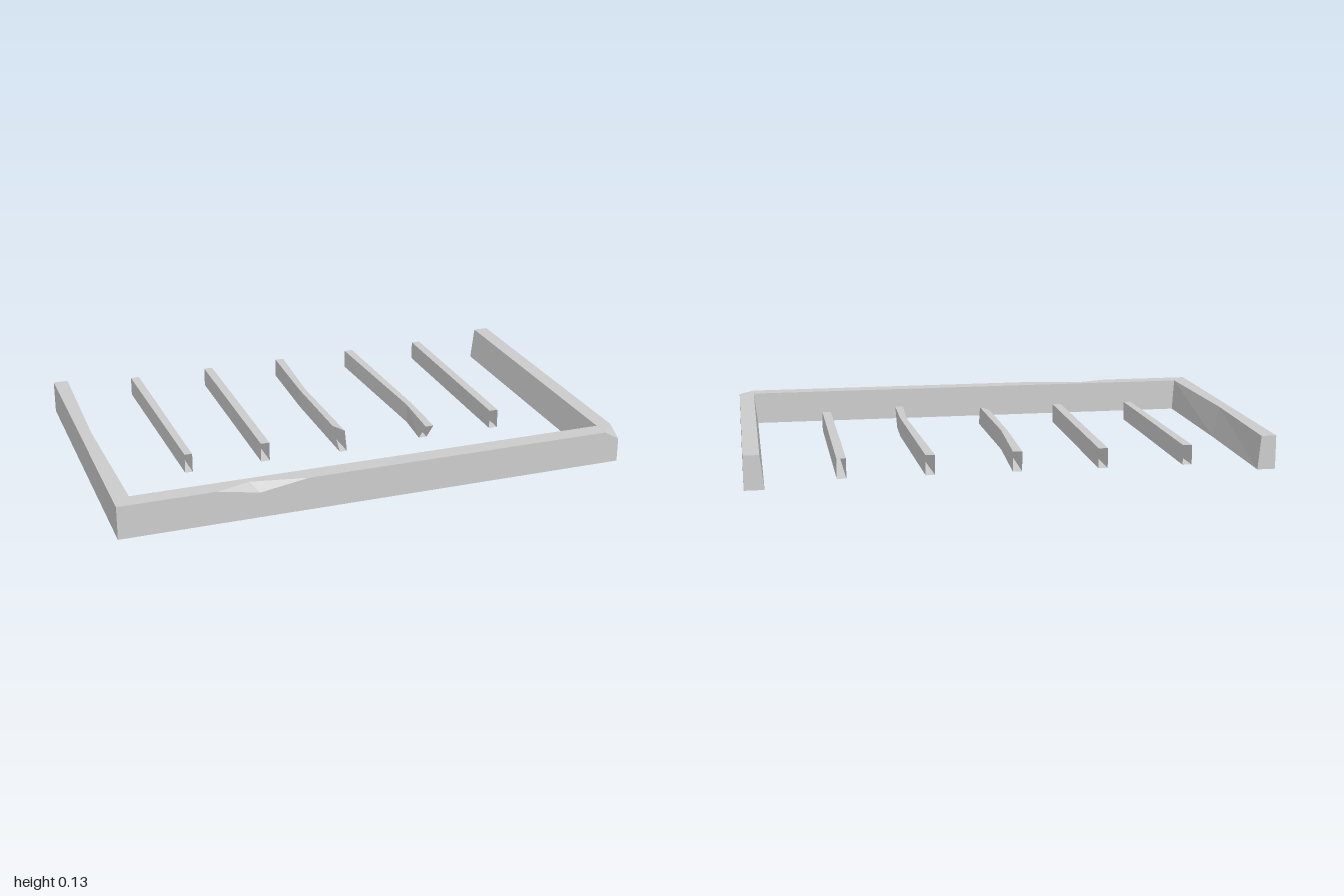
import * as THREE from 'three';

const H = 0.13;          // frame height
const BACK = -0.615, INNER = 0.545, FRONT = 0.615;

// Joins cross-section rings (arrays of [x, y, z]) into a faceted solid or open tube
function loft(name, rings, capped) {
  const pos = [];
  const tri = (a, b, c) => pos.push(...a, ...b, ...c);
  const n = rings[0].length;
  for (let r = 0; r < rings.length - 1; r++) {
    const a = rings[r], b = rings[r + 1];
    for (let i = 0; i < n; i++) {
      const j = (i + 1) % n;
      tri(a[i], b[i], a[j]);
      tri(a[j], b[i], b[j]);
    }
  }
  if (capped) {
    const s = rings[0], e = rings[rings.length - 1];
    for (let i = 1; i < n - 1; i++) {
      tri(s[0], s[i], s[i + 1]);
      tri(e[0], e[i + 1], e[i]);
    }
  }
  const geo = new THREE.BufferGeometry();
  geo.setAttribute('position', new THREE.Float32BufferAttribute(pos, 3));
  geo.computeVertexNormals();
  const mesh = new THREE.Mesh(geo, new THREE.MeshStandardMaterial({
    color: 0xcccccc, flatShading: true, side: THREE.DoubleSide,
  }));
  mesh.name = name;
  return mesh;
}

export function createModel() {
  const group = new THREE.Group();
  group.name = 'slattedFrame';

  // Front beam: [x, height of front edge, z of top edge]; differing values cut the chips
  const beam = [
    [-1, H, FRONT], [-0.63, H, FRONT], [-0.5, 0.106, 0.575], [-0.47, 0.1, 0.58],
    [-0.28, H, FRONT], [0.94, H, FRONT], [1, 0.095, INNER],
  ];
  group.add(loft('frontBeam', beam.map(([x, y, z]) => [
    [x, 0, INNER], [x, 0, FRONT], [x, y, FRONT], [x, H, z], [x, H, INNER],
  ]), true));

  // Left rail, with a sloping inner face
  group.add(loft('leftRail', [BACK, INNER].map((z) => [
    [1, 0, z], [0.925, 0, z], [0.94, H, z], [1, H, z],
  ]), true));

  // Right rail, worn thinner at the middle: [z, inner bottom x, inner top x]
  const worn = [[BACK, -0.93, -0.942], [-0.05, -0.935, -0.954], [INNER, -0.93, -0.938]];
  group.add(loft('rightRail', worn.map(([z, b, t]) => [
    [b, 0, z], [-1, 0, z], [-1, H, z], [t, H, z],
  ]), true));

  // Slats, open at the ends: stations of [z, x min, x max];
  // top gives the z of the upper corners at the front end, [x min, x max]
  const slats = [
    { path: [[BACK, -0.67, -0.635], [0, -0.655, -0.625], [0.22, -0.65, -0.62]] },
    { path: [[BACK, -0.345, -0.31], [0.22, -0.345, -0.31]] },
    { path: [[BACK, -0.02, 0.015], [-0.25, -0.03, -0.005], [0.235, -0.025, 0.005]], top: [0.15, 0.21] },
    { path: [[BACK, 0.305, 0.34], [0.05, 0.335, 0.36], [0.215, 0.322, 0.355]], top: [0.28, 0.28] },
    { path: [[BACK, 0.63, 0.665], [0.22, 0.63, 0.665]] },
  ];
  const low = 0.03, high = 0.106;
  slats.forEach(({ path, top }, i) => {
    const rings = path.map(([z, x0, x1], k) => {
      const [z0, z1] = top && k === path.length - 1 ? top : [z, z];
      return [[x1, low, z], [x0, low, z], [x0, high, z0], [x1, high, z1]];
    });
    group.add(loft(`slat${i + 1}`, rings, false));
  });

  return group;
}
